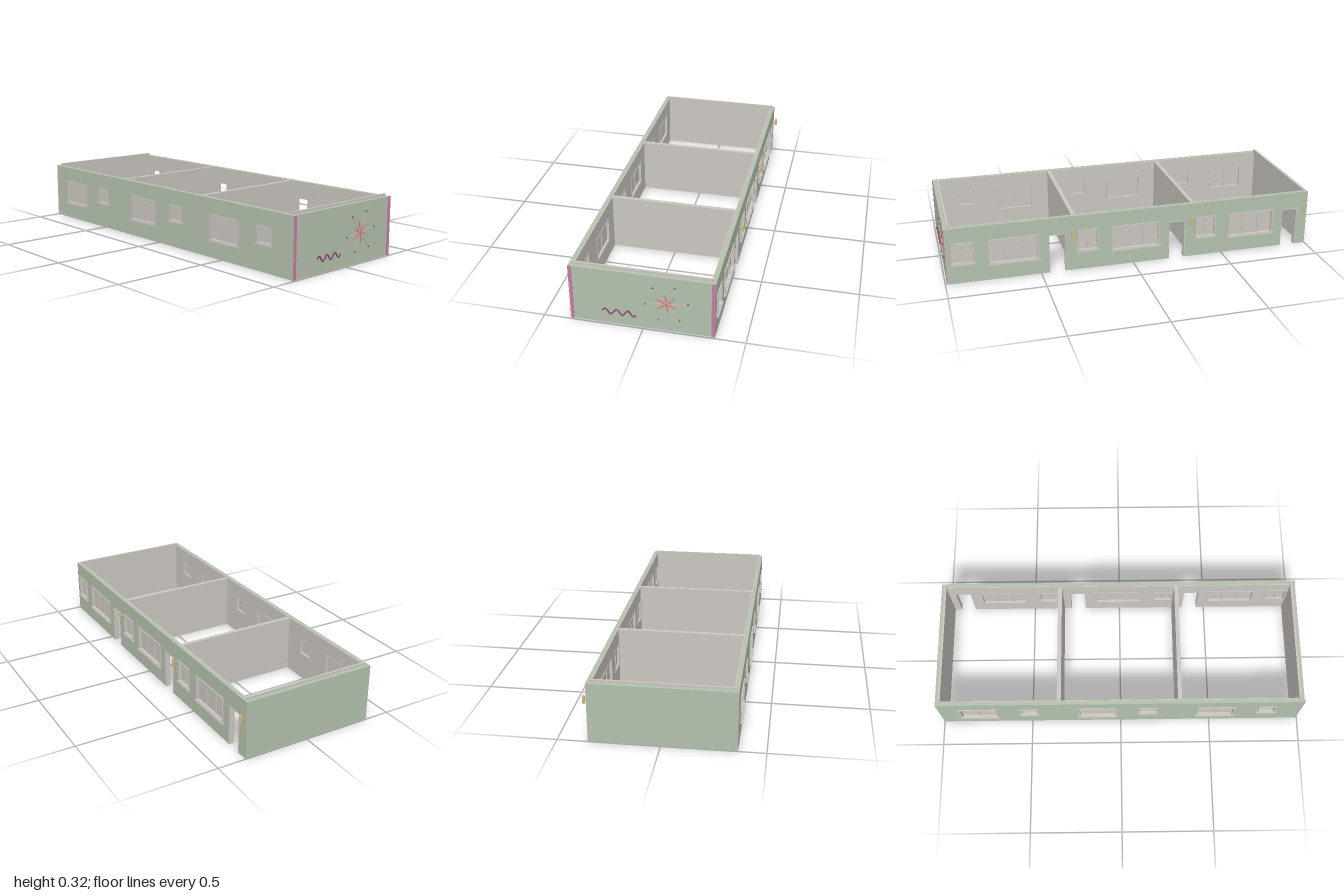
import * as THREE from 'three';

const mat = (name, color) => {
  const m = new THREE.MeshStandardMaterial({ color });
  m.name = name;
  return m;
};

export function createModel() {
  const root = new THREE.Group();
  root.name = 'openBuilding';
  const green = mat('paleGreen', 0xb4c2ae);
  const grey = mat('plasterGrey', 0xcbc7c1);
  const pink = mat('pink', 0xcc7aa2);
  const plum = mat('plum', 0x8b4570);
  const gold = mat('gold', 0xd8bb7c);

  const X0 = -0.365, X1 = 0.35, Z0 = -1, Z1 = 0.99, H = 0.307, T = 0.025, LINING = 0.004;
  const PITCH = 0.6535;

  const add = (name, geometry, material, parent = root) => {
    const mesh = new THREE.Mesh(geometry, material);
    mesh.name = name;
    parent.add(mesh);
    return mesh;
  };
  // box given by its opposite corners
  const box = (name, material, xa, xb, ya, yb, za, zb, parent = root) => {
    const mesh = add(name, new THREE.BoxGeometry(Math.abs(xb - xa), Math.abs(yb - ya), Math.abs(zb - za)), material, parent);
    mesh.position.set((xa + xb) / 2, (ya + yb) / 2, (za + zb) / 2);
    return mesh;
  };

  // openings repeat for each of the three rooms: [z0, z1, y0, y1, panes]
  const rightWindows = [], leftWindows = [], doors = [];
  for (let i = 2; i >= 0; i--) {
    const s = -i * PITCH;
    rightWindows.push([0.845 + s, 0.96 + s, 0.105, 0.226, 2], [0.51 + s, 0.773 + s, 0.087, 0.226, 3]);
    leftWindows.push([0.755 + s, 0.853 + s, 0.138, 0.226, 1], [0.42 + s, 0.628 + s, 0.09, 0.226, 2]);
    doors.push([0.367 + s, 0.458 + s]);
  }
  const DOOR_H = 0.215;

  // long wall layer, cut by doors and windows; its larger x face is at xMax
  const longWall = (name, material, xMax, depth, za, zb, windows, doorList) => {
    const shape = new THREE.Shape();
    shape.moveTo(za, 0);
    for (const [a, b] of doorList) {
      shape.lineTo(a, 0);
      shape.lineTo(a, DOOR_H);
      shape.lineTo(b, DOOR_H);
      shape.lineTo(b, 0);
    }
    shape.lineTo(zb, 0);
    shape.lineTo(zb, H);
    shape.lineTo(za, H);
    shape.closePath();
    for (const [a, b, y0, y1] of windows) {
      const hole = new THREE.Path();
      hole.moveTo(a, y0);
      hole.lineTo(a, y1);
      hole.lineTo(b, y1);
      hole.lineTo(b, y0);
      hole.closePath();
      shape.holes.push(hole);
    }
    const g = new THREE.ExtrudeGeometry(shape, { depth, bevelEnabled: false });
    g.rotateY(-Math.PI / 2);
    g.translate(xMax, 0, 0);
    add(name, g, material);
  };
  const CORE = T - LINING;
  longWall('rightOuterWall', green, X1, CORE, Z0, Z1, rightWindows, doors);
  longWall('rightWallLining', grey, X1 - CORE, LINING, Z0 + T, Z1 - T, rightWindows, doors);
  longWall('leftOuterWall', green, X0 + CORE, CORE, Z0, Z1, leftWindows, []);
  longWall('leftWallLining', grey, X0 + T, LINING, Z0 + T, Z1 - T, leftWindows, []);

  // end walls with linings and a raised inner strip along the top
  const xa = X0 + CORE, xb = X1 - CORE;
  box('frontWall', green, xa, xb, 0, H, Z1 - CORE, Z1);
  box('frontWallLining', grey, xa, xb, 0, H, Z1 - T, Z1 - CORE);
  box('frontTopStrip', grey, -0.349, 0.335, 0.293, 0.32, Z1 - T - 0.004, Z1 - T + 0.006);
  box('backWall', green, xa, xb, 0, H, Z0, Z0 + CORE);
  box('backWallLining', grey, xa, xb, 0, H, Z0 + CORE, Z0 + T);
  box('backTopStrip', grey, -0.349, 0.335, 0.293, 0.32, Z0 + T - 0.006, Z0 + T + 0.004);

  // partitions between rooms
  for (const z of [-0.334, 0.32]) box('partition', grey, X0 + T, X1 - T, 0, 0.304, z - 0.011, z + 0.011);

  // framed windows: side is +1 for the +x wall, -1 for the -x wall
  const addWindow = ([a, b, y0, y1, panes], side) => {
    const g = new THREE.Group();
    g.name = 'window';
    root.add(g);
    const face = side > 0 ? X1 : X0;
    const out = face + side * 0.006, inn = face - side * (T + 0.003), f = 0.008;
    box('frameTop', grey, inn, out, y1 - f, y1, a, b, g);
    box('frameBottom', grey, inn, out, y0, y0 + f, a, b, g);
    box('frameSide', grey, inn, out, y0 + f, y1 - f, a, a + f, g);
    box('frameSide', grey, inn, out, y0 + f, y1 - f, b - f, b, g);
    const mid = face - side * 0.012;
    box('pane', grey, mid - 0.002, mid + 0.002, y0 + f, y1 - f, a + f, b - f, g);
    for (let i = 1; i < panes; i++) {
      const z = a + (b - a) * i / panes;
      box('mullion', grey, mid - 0.007, mid + 0.007, y0 + f, y1 - f, z - 0.003, z + 0.003, g);
    }
    box('sill', grey, face, face + side * 0.012, y0 - 0.004, y0 + 0.003, a - 0.004, b + 0.004, g);
  };
  rightWindows.forEach(w => addWindow(w, 1));
  leftWindows.forEach(w => addWindow(w, -1));

  // open doorways with slim jambs, each with a lamp and a bell plate
  for (const [a, b] of doors) {
    const i = X1 - T - 0.001, o = X1 + 0.002;
    box('doorJamb', grey, i, o, 0, DOOR_H, a, a + 0.004);
    box('doorJamb', grey, i, o, 0, DOOR_H, b - 0.004, b);
    box('doorHead', grey, i, o, DOOR_H - 0.004, DOOR_H, a + 0.004, b - 0.004);

    const z = a - 0.034;
    box('lampBracket', grey, X1, X1 + 0.014, 0.207, 0.215, z - 0.003, z + 0.003);
    const lamp = add('lamp', new THREE.CylinderGeometry(0.007, 0.007, 0.04, 16), gold);
    lamp.position.set(X1 + 0.017, 0.211, z);
    box('bellPlate', gold, X1, X1 + 0.003, 0.147, 0.159, z - 0.005, z + 0.005);
  }

  // painted corner strips on the front
  box('cornerStrip', pink, X0, -0.348, 0, H, Z1, Z1 + 0.003);
  box('cornerStrip', pink, 0.332, X1, 0, H, Z1, Z1 + 0.003);

  // wavy line ornament
  const wave = [];
  for (let i = 0; i <= 36; i++) {
    wave.push(new THREE.Vector3(-0.203 + 0.17 * i / 36, 0.072 + 0.014 * Math.sin(i / 36 * Math.PI * 6), Z1 + 0.003));
  }
  add('waveOrnament', new THREE.TubeGeometry(new THREE.CatmullRomCurve3(wave), 96, 0.0035, 8), plum);

  // starburst ornament: gold rays ending in beads, pink spikes between them
  const star = new THREE.Group();
  star.name = 'starburst';
  star.position.set(0.115, 0.158, Z1);
  root.add(star);
  const ray = (name, angle, length, width, material) => {
    const s = new THREE.Shape();
    s.moveTo(0, -width);
    s.lineTo(length, 0);
    s.lineTo(0, width);
    s.closePath();
    add(name, new THREE.ExtrudeGeometry(s, { depth: 0.003, bevelEnabled: false }), material, star).rotation.z = angle;
  };
  const beads = [[0.05, 0.243], [0.155, 0.257], [0.219, 0.173], [0.179, 0.075], [0.075, 0.062], [0.01, 0.146]];
  for (const [x, y] of beads) {
    const dx = x - 0.115, dy = y - 0.158, angle = Math.atan2(dy, dx);
    ray('goldRay', angle, Math.hypot(dx, dy) * 0.9, 0.003, gold);
    ray('pinkSpike', angle + Math.PI / 6, 0.062, 0.006, pink);
    add('bead', new THREE.SphereGeometry(0.0045, 12, 8), plum, star).position.set(dx, dy, 0.004);
  }
  const disc = (name, r, h, material) => {
    const m = add(name, new THREE.CylinderGeometry(r, r, h, 24), material, star);
    m.rotation.x = Math.PI / 2;
    m.position.z = h / 2;
  };
  disc('starRing', 0.011, 0.004, gold);
  disc('starCentre', 0.008, 0.006, pink);

  return root;
}
